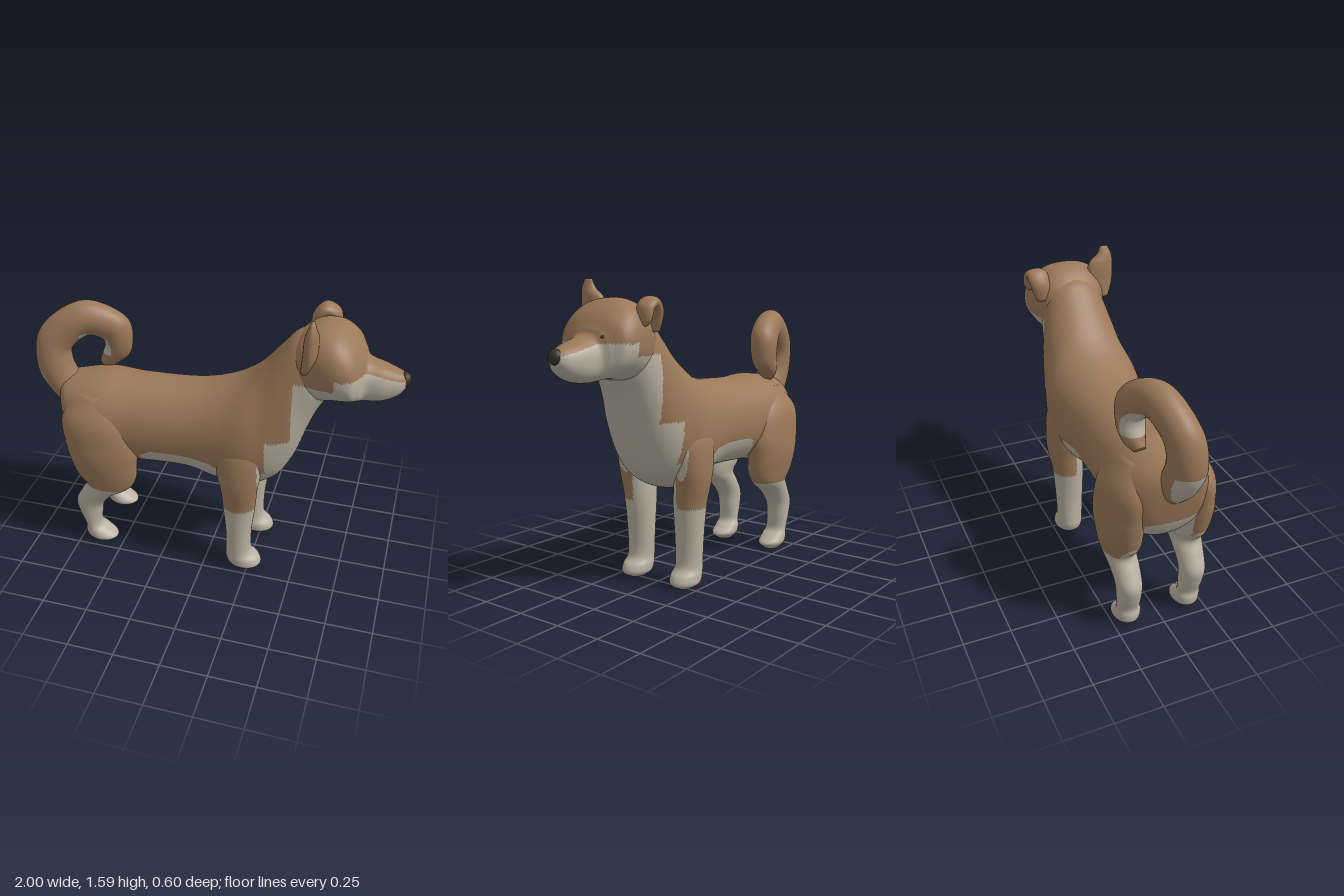
import * as THREE from 'three';

const V = (x, y, z) => new THREE.Vector3(x, y, z);

// Closed loft. Each ring has a centre c and half-axes u, v (u x v points along the loft).
// isPale(x, y, z) picks the second material for a triangle.
function loft(name, rings, mats, { steps = 80, sides = 56, power = 2, isPale = () => false } = {}) {
  const [C, U, W] = ['c', 'u', 'v'].map(k =>
    new THREE.CatmullRomCurve3(rings.map(r => r[k]), false, 'catmullrom', 0.5));
  const pos = [], dark = [], pale = [];
  const sp = t => Math.sign(t) * Math.pow(Math.abs(t), 2 / power);
  for (let i = 0; i <= steps; i++) {
    const c = C.getPoint(i / steps), u = U.getPoint(i / steps), v = W.getPoint(i / steps);
    for (let j = 0; j < sides; j++) {
      const a = j / sides * Math.PI * 2;
      const p = c.clone().addScaledVector(u, sp(Math.cos(a))).addScaledVector(v, sp(Math.sin(a)));
      pos.push(p.x, p.y, p.z);
    }
  }
  const first = pos.length / 3, last = first + 1;
  pos.push(...rings[0].c.toArray(), ...rings[rings.length - 1].c.toArray());
  const tri = (...ids) => {
    const m = [0, 1, 2].map(k => ids.reduce((s, id) => s + pos[id * 3 + k], 0) / 3);
    (isPale(...m) ? pale : dark).push(...ids);
  };
  for (let j = 0; j < sides; j++) {
    const k = (j + 1) % sides, e = steps * sides;
    for (let i = 0; i < steps; i++) {
      const a = i * sides + j, b = i * sides + k;
      tri(a, b, a + sides);
      tri(b, b + sides, a + sides);
    }
    tri(first, k, j);
    tri(last, e + j, e + k);
  }
  const g = new THREE.BufferGeometry();
  g.setAttribute('position', new THREE.Float32BufferAttribute(pos, 3));
  g.setIndex([...dark, ...pale]);
  g.addGroup(0, dark.length, 0);
  g.addGroup(dark.length, pale.length, 1);
  g.computeVertexNormals();
  const mesh = new THREE.Mesh(g, mats);
  mesh.name = name;
  return mesh;
}

// Rings from side profile: [topX, topY, bottomX, bottomY, halfWidth]
const profile = rows => rows.map(([tx, ty, bx, by, w]) => ({
  c: V((tx + bx) / 2, (ty + by) / 2, 0),
  u: V((tx - bx) / 2, (ty - by) / 2, 0),
  v: V(0, 0, w),
}));

// Level rings going down a leg: [y, backX, frontX, innerZ, outerZ]
const limb = (rows, s) => rows.map(([y, xb, xf, zi, zo]) => ({
  c: V((xb + xf) / 2, y, s * (zi + zo) / 2),
  u: V((xf - xb) / 2, 0, 0),
  v: V(0, 0, (zo - zi) / 2),
}));

// Rings along a curling path: [x, y, z, thickness, halfWidth]
function curl(rows) {
  const path = new THREE.CatmullRomCurve3(rows.map(r => V(r[0], r[1], r[2])), false, 'catmullrom', 0.5);
  return rows.map(([x, y, z, ru, rv], i) => {
    const t = path.getTangent(i / (rows.length - 1)).setZ(0).normalize();
    return { c: V(x, y, z), u: V(-t.y, t.x, 0).multiplyScalar(ru), v: V(0, 0, rv) };
  });
}

export function createModel() {
  const mat = (name, color) => {
    const m = new THREE.MeshStandardMaterial({ color });
    m.name = name;
    return m;
  };
  const brown = mat('brown fur', 0x9b7859);
  const cream = mat('cream fur', 0xb9b0a0);
  const black = mat('dark nose', 0x35332d);
  const fur = [brown, cream];
  const dog = new THREE.Group();
  dog.name = 'dog';

  // Torso and neck, with pale chest and belly
  dog.add(loft('torso', profile([
    [-0.86, 0.90, -0.83, 0.78, 0.04],
    [-0.84, 0.99, -0.79, 0.65, 0.15],
    [-0.75, 1.02, -0.72, 0.56, 0.22],
    [-0.60, 1.045, -0.58, 0.54, 0.25],
    [-0.40, 1.04, -0.40, 0.56, 0.238],
    [-0.10, 1.06, -0.12, 0.57, 0.235],
    [0.08, 1.11, 0.05, 0.53, 0.255],
    [0.20, 1.18, 0.20, 0.51, 0.268],
    [0.28, 1.26, 0.36, 0.58, 0.24],
    [0.36, 1.36, 0.45, 0.72, 0.215],
    [0.42, 1.43, 0.51, 0.90, 0.19],
    [0.48, 1.46, 0.56, 1.03, 0.175],
    [0.52, 1.46, 0.62, 1.13, 0.15],
  ]), fur, {
    steps: 170, sides: 96, power: 2.15,
    isPale: (x, y, z) => (x > 0.45 && y < 1.24) || (x > 0.33 && y < 0.9)
      || (x > 0.28 && y < 0.68)
      || Math.pow(Math.abs((x + 0.13) / 0.24), 4) + Math.pow(Math.max(0, (y - 0.53) / 0.2), 4) < 1
      || (Math.abs(z) < 0.14 && y < 0.68),
  }));

  // Head and muzzle in one sweep
  dog.add(loft('head', profile([
    [0.39, 1.37, 0.43, 1.22, 0.08],
    [0.46, 1.455, 0.47, 1.15, 0.165],
    [0.54, 1.505, 0.56, 1.11, 0.20],
    [0.64, 1.50, 0.64, 1.125, 0.22],
    [0.72, 1.445, 0.72, 1.13, 0.205],
    [0.765, 1.38, 0.755, 1.125, 0.15],
    [0.79, 1.345, 0.79, 1.12, 0.105],
    [0.87, 1.32, 0.87, 1.13, 0.09],
    [0.94, 1.295, 0.94, 1.165, 0.065],
    [0.975, 1.28, 0.978, 1.21, 0.038],
  ]), fur, {
    steps: 120, sides: 80, power: 2.3,
    isPale: (x, y) => x > 0.45
      && y < (x < 0.65 ? 1.24 : x < 0.78 ? 1.305 : 1.305 - (x - 0.78) * 0.25),
  }));

  // Nose and the small eye
  const ball = (name, p, s) => {
    const m = new THREE.Mesh(new THREE.SphereGeometry(1, 24, 16), black);
    m.name = name;
    m.position.set(...p);
    m.scale.set(...s);
    dog.add(m);
  };
  ball('nose', [0.968, 1.253, 0], [0.032, 0.038, 0.038]);
  ball('eye', [0.765, 1.335, -0.1], [0.01, 0.008, 0.01]);

  // Left ear stands up, right ear folds over
  dog.add(loft('uprightEar', [
    [1.32, 0.13, 0.215, 0.50, 0.02],
    [1.40, 0.10, 0.245, 0.52, 0.035],
    [1.50, 0.11, 0.25, 0.525, 0.035],
    [1.55, 0.16, 0.245, 0.528, 0.025],
    [1.595, 0.18, 0.225, 0.53, 0.01],
  ].map(([y, zi, zo, x, t]) => ({
    c: V(x, y, (zi + zo) / 2), u: V(0, 0, (zo - zi) / 2), v: V(t, 0, 0),
  })), fur, { steps: 24, sides: 28 }));
  dog.add(loft('foldedEar', curl([
    [0.49, 1.35, -0.17, 0.02, 0.04],
    [0.50, 1.44, -0.185, 0.035, 0.055],
    [0.535, 1.487, -0.19, 0.033, 0.058],
    [0.58, 1.465, -0.20, 0.03, 0.05],
    [0.595, 1.41, -0.21, 0.022, 0.035],
    [0.595, 1.38, -0.21, 0.008, 0.012],
  ]), fur, { steps: 30, sides: 28 }));

  // Curled tail, pale inside the curl and behind its root
  dog.add(loft('tail', curl([
    [-0.77, 0.84, 0, 0.07, 0.08],
    [-0.85, 0.95, 0, 0.092, 0.095],
    [-0.90, 1.07, 0, 0.10, 0.095],
    [-0.88, 1.21, -0.02, 0.10, 0.09],
    [-0.73, 1.315, -0.07, 0.097, 0.085],
    [-0.59, 1.25, -0.12, 0.092, 0.08],
    [-0.575, 1.14, -0.13, 0.075, 0.07],
    [-0.62, 1.07, -0.13, 0.055, 0.055],
    [-0.66, 1.03, -0.12, 0.03, 0.03],
  ]), fur, {
    steps: 100, sides: 48,
    isPale: (x, y) => (y < 1.03 && x < -0.93 + (1 - y) * 0.4)
      || (x > -0.75 && y > 1.1 && Math.hypot(x + 0.71, y - 1.13) < 0.115),
  }));

  // Legs with pale socks and pale inner sides
  const foreleg = [
    [0.95, 0.12, 0.24, 0.10, 0.20], [0.80, 0.06, 0.31, 0.10, 0.268],
    [0.65, 0.07, 0.305, 0.09, 0.283], [0.55, 0.09, 0.29, 0.085, 0.275],
    [0.43, 0.10, 0.28, 0.08, 0.252], [0.25, 0.118, 0.262, 0.085, 0.24],
    [0.12, 0.12, 0.265, 0.09, 0.235], [0.07, 0.12, 0.31, 0.085, 0.24],
    [0.03, 0.135, 0.32, 0.09, 0.237], [0.004, 0.17, 0.28, 0.12, 0.205],
  ];
  const hindleg = [
    [0.98, -0.70, -0.52, 0.10, 0.18], [0.85, -0.80, -0.42, 0.08, 0.27],
    [0.70, -0.79, -0.38, 0.08, 0.297], [0.60, -0.77, -0.385, 0.08, 0.30],
    [0.50, -0.74, -0.395, 0.085, 0.285], [0.43, -0.69, -0.43, 0.10, 0.27],
    [0.36, -0.725, -0.53, 0.105, 0.255], [0.28, -0.765, -0.60, 0.11, 0.245],
    [0.20, -0.75, -0.62, 0.11, 0.24], [0.12, -0.72, -0.625, 0.11, 0.235],
    [0.08, -0.725, -0.58, 0.10, 0.24], [0.04, -0.72, -0.535, 0.10, 0.24],
    [0.004, -0.68, -0.58, 0.13, 0.21],
  ];
  for (const [side, s] of [['left', 1], ['right', -1]]) {
    dog.add(loft(side + 'Foreleg', limb(foreleg, s), fur, {
      isPale: (x, y, z) => y < 0.43 || (Math.abs(z) < 0.145 && y < 0.75) || (x > 0.295 && y > 0.5),
    }));
    dog.add(loft(side + 'Hindleg', limb(hindleg, s), fur, {
      isPale: (x, y, z) => y < 0.43 + Math.max(0, -0.67 - x) * 1.2 || (Math.abs(z) < 0.145 && y < 0.75),
    }));
  }
  return dog;
}
